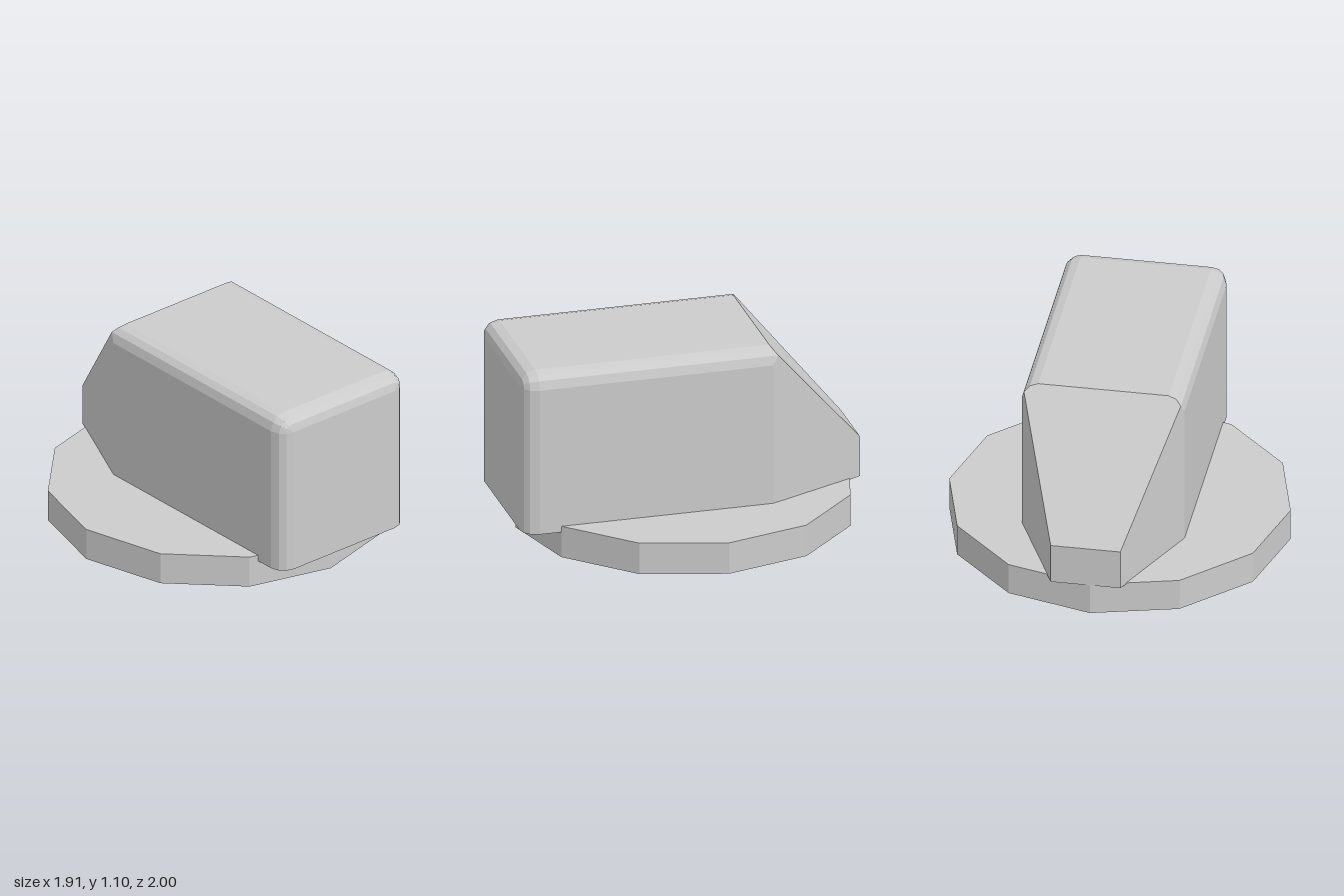
import * as THREE from 'three';

const material = new THREE.MeshStandardMaterial({ color: 0xcccccc, flatShading: true });
const rad = THREE.MathUtils.degToRad;

const HALF = 0.455, BOTTOM = 0.15, TOP = 1.1, R = 0.09;    // housing cross-section
const FRONT = 1, BACK = -0.43, END = -1;                   // housing stations along z
const TAIL = { half: 0.195, bottom: 0.18, top: 0.415 };    // small end of the tail
const ANGLES = [0, 34, 60, 90].map(rad);                   // steps of the rounded edges

// Arch-shaped section, counter-clockwise seen from the front: [x, y] points
function profile(half, bottom, top, r) {
  const right = ANGLES.map(a => [half - r + r * Math.cos(a), top - r + r * Math.sin(a)]);
  const left = right.map(([x, y]) => [-x, y]).reverse();
  return [[half, bottom], ...right, ...left, [-half, bottom]];
}

const at = (points, z) => points.map(([x, y]) => new THREE.Vector3(x, y, z));

// Skin through sections listed from front to back, closed by flat caps
function loft(sections) {
  const pos = [];
  const tri = (a, b, c) => {
    if (new THREE.Triangle(a, b, c).getArea() > 1e-7) for (const p of [a, b, c]) pos.push(p.x, p.y, p.z);
  };
  const n = sections[0].length;
  for (let s = 0; s < sections.length - 1; s++) {
    const f = sections[s], b = sections[s + 1];
    for (let k = 0; k < n; k++) {
      const j = (k + 1) % n;
      tri(f[k], b[k], f[j]);
      tri(f[j], b[k], b[j]);
    }
  }
  const first = sections[0], last = sections[sections.length - 1];
  for (let k = 1; k < n - 1; k++) {
    tri(first[0], first[k], first[k + 1]);
    tri(last[0], last[k + 1], last[k]);
  }
  const geometry = new THREE.BufferGeometry();
  geometry.setAttribute('position', new THREE.Float32BufferAttribute(pos, 3));
  geometry.computeVertexNormals();
  return geometry;
}

function housingGeometry() {
  const sections = [];
  // Rounded front: the section shrinks towards the front face
  for (const a of [...ANGLES].reverse()) {
    const inset = R * (1 - Math.cos(a));
    sections.push(at(profile(HALF - inset, BOTTOM, TOP - inset, R - inset), FRONT - R + R * Math.sin(a)));
  }
  const full = profile(HALF, BOTTOM, TOP, R);
  sections.push(at(full, BACK));
  // Rounded edges run on until they meet the planes of the tail
  sections.push(full.map(([x, y]) => {
    const t = Math.min((HALF - Math.abs(x)) / (HALF - TAIL.half), (TOP - y) / (TOP - TAIL.top));
    return new THREE.Vector3(x, y, BACK + (END - BACK) * Math.max(t, 0));
  }));
  // Small rectangular end
  sections.push(at(profile(TAIL.half, TAIL.bottom, TAIL.top, 0), END));
  return loft(sections);
}

export function createModel() {
  const group = new THREE.Group();

  // Twelve-sided foot
  const base = new THREE.Mesh(new THREE.CylinderGeometry(0.957, 0.957, 0.185, 12), material);
  base.name = 'base';
  base.position.set(0, 0.0925, -0.043);
  group.add(base);

  // Housing with tapered tail
  const housing = new THREE.Mesh(housingGeometry(), material);
  housing.name = 'housing';
  housing.position.x = 0.025;
  group.add(housing);

  return group;
}
